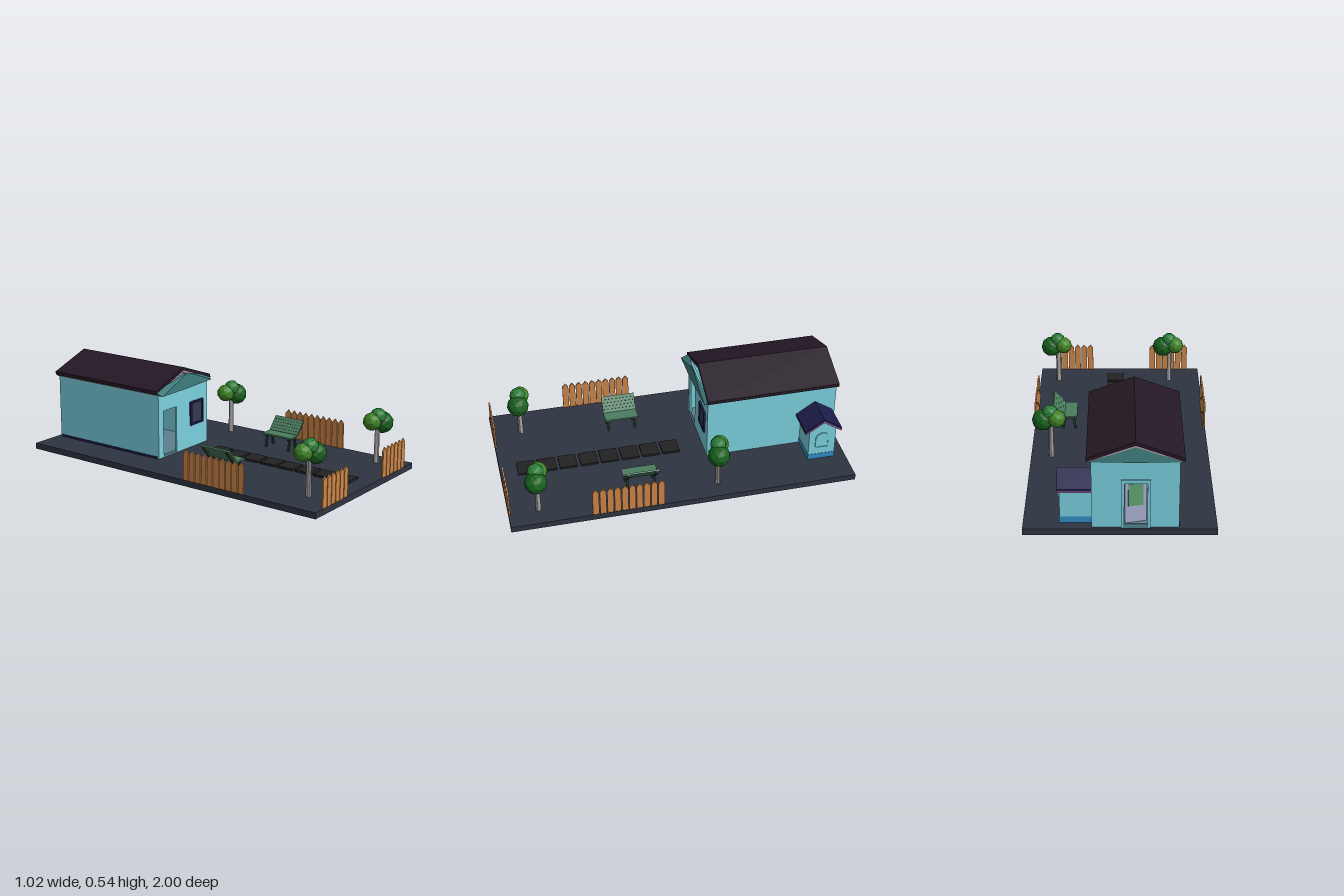
import * as THREE from 'three';

const mat = (color) => new THREE.MeshStandardMaterial({ color, flatShading: true, side: THREE.DoubleSide });
const M = {
  ground: mat(0x2e3442), stone: mat(0x222222), wall: mat(0x7ad0de), gable: mat(0x3d7a7c),
  roof: mat(0x241824), trim: mat(0xb59aae), navy: mat(0x1c1d4a), pane: mat(0x343a52),
  blue: mat(0x2f8fc4), purple: mat(0xa26aa8), wood: mat(0xcd8648), trunk: mat(0xa8a2a2),
  leafLight: mat(0x3f8426), leafMid: mat(0x2b7d38), leafDark: mat(0x17601c),
  bench: mat(0x4c7d60), benchLeg: mat(0x20382c), door: mat(0xa9aed0), glass: mat(0x5fa070), floor: mat(0x5f8090),
};
const G = 0.035; // ground level

function add(parent, name, geo, material, x = 0, y = 0, z = 0) {
  const m = new THREE.Mesh(geo, material);
  m.name = name;
  m.position.set(x, y, z);
  parent.add(m);
  return m;
}

// Box given by its minimum and maximum corners
function box(parent, name, material, [x0, y0, z0], [x1, y1, z1]) {
  return add(parent, name, new THREE.BoxGeometry(x1 - x0, y1 - y0, z1 - z0), material,
    (x0 + x1) / 2, (y0 + y1) / 2, (z0 + z1) / 2);
}

function poly(points) {
  return new THREE.Shape(points.map(([x, y]) => new THREE.Vector2(x, y)));
}
const rect = (x0, y0, x1, y1) => poly([[x0, y0], [x1, y0], [x1, y1], [x0, y1]]);
const extrude = (shape, depth) => new THREE.ExtrudeGeometry(shape, { depth, bevelEnabled: false, curveSegments: 8 });

// Chevron cross-section for pitched roofs, centred on x = 0
const chevron = (half, eave, apex, t) =>
  poly([[-half, eave - t], [0, apex - t], [half, eave - t], [half, eave], [0, apex], [-half, eave]]);

function makeHouse() {
  const house = new THREE.Group();
  house.name = 'house';
  const cx = -0.08, L = -0.31, R = 0.15;

  // End walls with doorways
  const front = rect(L, G, R, 0.425);
  front.holes.push(rect(-0.265, G + 0.005, -0.145, 0.315));
  add(house, 'frontWall', extrude(front, 0.012), M.wall, 0, 0, -0.217);
  const back = rect(L, G, R, 0.425);
  back.holes.push(rect(-0.145, G + 0.005, -0.02, 0.3));
  add(house, 'backWall', extrude(back, 0.012), M.wall, 0, 0, -0.978);

  // Side walls, floor and base strip
  box(house, 'leftWall', M.wall, [R - 0.012, G, -0.97], [R, 0.44, -0.21]);
  box(house, 'rightWall', M.wall, [L, G, -0.97], [L + 0.012, 0.44, -0.21]);
  box(house, 'floor', M.floor, [L + 0.01, G, -0.97], [R - 0.01, 0.05, -0.21]);
  box(house, 'baseStrip', M.navy, [L - 0.004, G, -0.968], [L, 0.048, -0.215]);

  // Gable ends: two splayed panes with a soffit
  function gable(name, zWall, zL, zM, zR, zTop) {
    const p = [[-0.325, 0.42, zL], [cx, 0.42, zM], [0.163, 0.42, zR], [cx, 0.512, zTop],
      [-0.325, 0.42, zWall], [0.163, 0.42, zWall], [-0.325, 0.442, zWall], [0.163, 0.442, zWall]];
    const geo = new THREE.BufferGeometry();
    geo.setAttribute('position', new THREE.Float32BufferAttribute(p.flat(), 3));
    geo.setIndex([0, 1, 3, 1, 2, 3, 0, 4, 1, 4, 5, 1, 5, 2, 1, 0, 3, 6, 0, 6, 4, 2, 7, 3, 2, 5, 7]);
    geo.computeVertexNormals();
    add(house, name, geo, M.gable);
  }
  gable('frontGable', -0.215, -0.16, -0.165, -0.182, -0.17);
  gable('backGable', -0.965, -0.98, -0.985, -0.98, -0.975);

  // Roof with trim beneath
  add(house, 'roof', extrude(chevron(0.255, 0.447, 0.54, 0.02), 0.785), M.roof, cx, 0, -0.985);
  add(house, 'roofTrim', extrude(chevron(0.245, 0.434, 0.522, 0.015), 0.775), M.trim, cx, 0, -0.978);

  // Front window
  const frame = rect(-0.02, 0.17, 0.1, 0.315);
  frame.holes.push(rect(-0.008, 0.182, 0.088, 0.303));
  add(house, 'windowFrame', extrude(frame, 0.014), M.navy, 0, 0, -0.208);
  box(house, 'windowPane', M.pane, [-0.01, 0.18, -0.207], [0.09, 0.305, -0.2]);

  // Back door and its surround
  const surround = rect(-0.16, G, -0.005, 0.32);
  surround.holes.push(rect(-0.143, G + 0.003, -0.022, 0.3));
  add(house, 'doorSurround', extrude(surround, 0.012), M.wall, 0, 0, -0.99);
  const door = new THREE.Group();
  door.name = 'backDoor';
  box(door, 'doorLeaf', M.door, [-0.118, 0.05, -0.005], [0, 0.298, 0.005]);
  box(door, 'doorGlass', M.glass, [-0.1, 0.15, -0.008], [-0.018, 0.28, 0.008]);
  door.position.set(-0.024, 0, -0.96);
  door.rotation.y = 0.25;
  house.add(door);
  return house;
}

function makeAnnex() {
  // Built along +z, then turned so its gable faces +x
  const annex = new THREE.Group();
  annex.name = 'annex';
  const body = poly([[-0.08, G], [0.08, G], [0.08, 0.248], [0, 0.305], [-0.08, 0.248]]);
  add(annex, 'annexWalls', extrude(body, 0.17), M.wall);
  box(annex, 'annexPlinth', M.blue, [-0.082, G, 0], [0.082, 0.07, 0.172]);
  add(annex, 'annexRoof', extrude(chevron(0.11, 0.25, 0.324, 0.012), 0.182), M.navy);
  add(annex, 'annexRoofTrim', extrude(chevron(0.107, 0.24, 0.313, 0.012), 0.184), M.purple);

  // Arched window
  const arch = (r, y0) => {
    const s = new THREE.Shape();
    s.moveTo(-r, y0);
    s.lineTo(r, y0);
    s.lineTo(r, 0.18);
    s.absarc(0, 0.18, r, 0, Math.PI, false);
    s.lineTo(-r, y0);
    return s;
  };
  const frame = arch(0.041, 0.115);
  frame.holes.push(arch(0.034, 0.122));
  add(annex, 'archFrame', extrude(frame, 0.006), M.wall, 0, 0, 0.17);
  add(annex, 'archPane', extrude(arch(0.034, 0.122), 0.002), M.wall, 0, 0, 0.17);
  annex.rotation.y = Math.PI / 2;
  annex.position.set(0.148, 0, -0.852);
  return annex;
}

function makeFence(name, count, x, z, turn) {
  const fence = new THREE.Group();
  fence.name = name;
  const w = 0.018;
  const picket = extrude(poly([[-w, 0], [w, 0], [w, 0.152], [0, 0.174], [-w, 0.152]]), 0.009);
  picket.translate(0, 0, -0.0045);
  for (let i = 0; i < count; i++) add(fence, 'picket', picket, M.wood, (i - (count - 1) / 2) * 0.0415);
  fence.position.set(x, G, z);
  fence.rotation.y = turn;
  return fence;
}

function makeTree(x, z) {
  const tree = new THREE.Group();
  tree.name = 'tree';
  add(tree, 'trunk', new THREE.CylinderGeometry(0.013, 0.016, 0.23, 10), M.trunk, 0, G + 0.115, 0);
  const blob = (name, r, m, px, py, pz) => add(tree, name, new THREE.IcosahedronGeometry(r, 1), m, px, py, pz);
  blob('lightFoliage', 0.053, M.leafLight, -0.034, 0.285, -0.016);
  blob('topFoliage', 0.047, M.leafMid, 0.003, 0.313, 0.002);
  blob('darkFoliage', 0.064, M.leafDark, 0.043, 0.267, 0.008);
  tree.position.set(x, 0, z);
  return tree;
}

function makeBench(x, z, turn) {
  // Faces +x with its back towards -x
  const bench = new THREE.Group();
  bench.name = 'bench';
  for (let i = 0; i < 5; i++) {
    add(bench, 'seatSlat', new THREE.BoxGeometry(0.016, 0.01, 0.2), M.bench, 0.002 + i * 0.0155, 0.115, 0);
    add(bench, 'backSlat', new THREE.BoxGeometry(0.01, 0.019, 0.2), M.bench, -0.012 - i * 0.013, 0.126 + i * 0.015, 0)
      .rotation.z = 0.71;
  }
  for (const s of [-1, 1]) {
    for (const [px, lean] of [[0.055, 0.2], [-0.005, -0.2]]) {
      add(bench, 'leg', new THREE.BoxGeometry(0.012, 0.08, 0.012), M.benchLeg, px, G + 0.038, s * 0.08).rotation.z = lean;
    }
    add(bench, 'seatBearer', new THREE.BoxGeometry(0.08, 0.01, 0.012), M.benchLeg, 0.03, 0.106, s * 0.08);
    add(bench, 'backBearer', new THREE.BoxGeometry(0.01, 0.1, 0.012), M.benchLeg, -0.045, 0.148, s * 0.08).rotation.z = 0.71;
  }
  bench.position.set(x, 0, z);
  bench.rotation.y = turn;
  return bench;
}

export function createModel() {
  const model = new THREE.Group();
  model.name = 'houseAndGarden';
  box(model, 'ground', M.ground, [-0.512, 0, -1], [0.512, G, 1]);

  // Stepping stone path
  for (let i = 0; i < 8; i++) {
    box(model, 'steppingStone', M.stone, [-0.027, G, -0.06 + i * 0.122], [0.08, 0.047, 0.045 + i * 0.122]);
  }

  model.add(makeHouse(), makeAnnex());
  model.add(makeFence('frontRightFence', 6, -0.318, 0.994, 0), makeFence('frontLeftFence', 6, 0.297, 0.994, 0));
  for (const s of [-1, 1]) model.add(makeFence('sideFence', 10, s * 0.505, 0.335, Math.PI / 2));
  for (const [x, z] of [[0.395, -0.205], [-0.318, 0.83], [0.395, 0.83]]) model.add(makeTree(x, z));
  model.add(makeBench(-0.275, 0.23, 0), makeBench(0.328, 0.23, Math.PI));
  return model;
}
